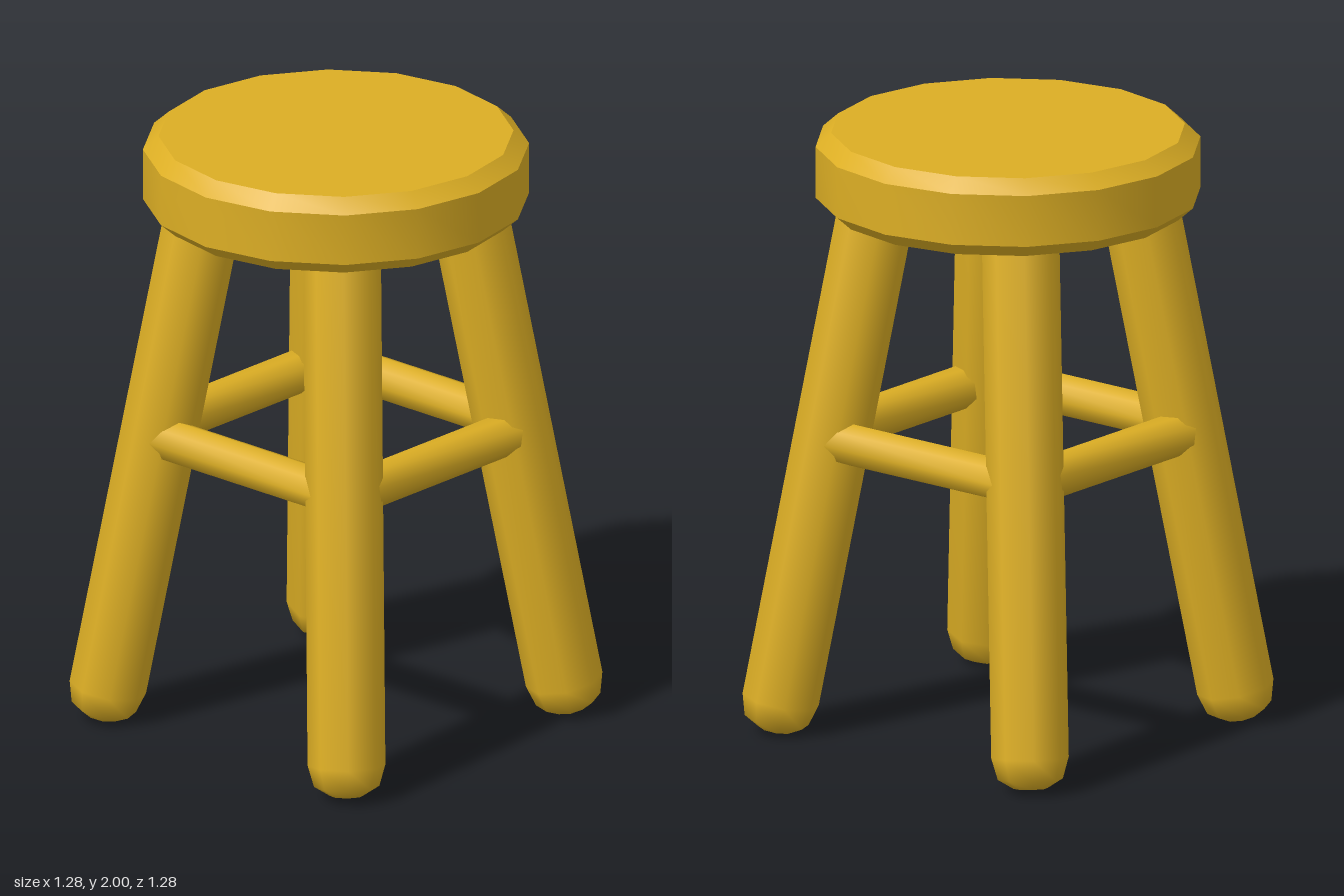
import * as THREE from 'three';
import { toCreasedNormals } from 'three/addons/utils/BufferGeometryUtils.js';

const wood = new THREE.MeshStandardMaterial({ color: 0xdcae24 });

function lathe(profile, sides) {
  return new THREE.LatheGeometry(profile.map(([r, y]) => new THREE.Vector2(r, y)), sides);
}

function add(group, name, geometry) {
  const mesh = new THREE.Mesh(geometry, wood);
  mesh.name = name;
  group.add(mesh);
  return mesh;
}

export function createModel() {
  const stool = new THREE.Group();
  stool.name = 'stool';

  // Round seat with chamfered rims
  const seat = lathe([[0, 1.74], [0.57, 1.74], [0.62, 1.785], [0.62, 1.955], [0.57, 2], [0, 2]], 16);
  add(stool, 'seat', toCreasedNormals(seat, 0.6));

  // Four splayed legs with rounded feet, their tops sunk into the seat
  const up = new THREE.Vector3(0, 1, 0);
  const foot = new THREE.Vector3(0.531, 0.013, 0.531);
  const top = new THREE.Vector3(0.285, 1.85, 0.285);
  const length = foot.distanceTo(top);
  const legShape = lathe([[0, 0], [0.055, 0], [0.105, 0.03], [0.125, 0.1], [0.125, length], [0, length]], 8);
  for (const [sx, sz, place] of [[1, 1, 'frontLeft'], [-1, 1, 'frontRight'], [1, -1, 'backLeft'], [-1, -1, 'backRight']]) {
    const side = new THREE.Vector3(sx, 1, sz);
    const leg = add(stool, place + 'Leg', legShape);
    const axis = top.clone().sub(foot).multiply(side).normalize();
    leg.position.copy(foot).multiply(side);
    leg.quaternion.setFromUnitVectors(up, axis);
  }

  // Four rails between neighbouring legs, set slightly outside the leg centres
  const rail = () => new THREE.CylinderGeometry(0.07, 0.07, 0.76, 8);
  const crossRail = toCreasedNormals(rail().rotateY(Math.PI / 8).rotateZ(Math.PI / 2), 1);
  const sideRail = toCreasedNormals(rail().rotateX(Math.PI / 2), 1);
  for (const s of [1, -1]) {
    add(stool, s > 0 ? 'frontRail' : 'backRail', crossRail).position.set(0, 0.985, s * 0.435);
    add(stool, s > 0 ? 'leftRail' : 'rightRail', sideRail).position.set(s * 0.435, 0.985, 0);
  }

  return stool;
}
